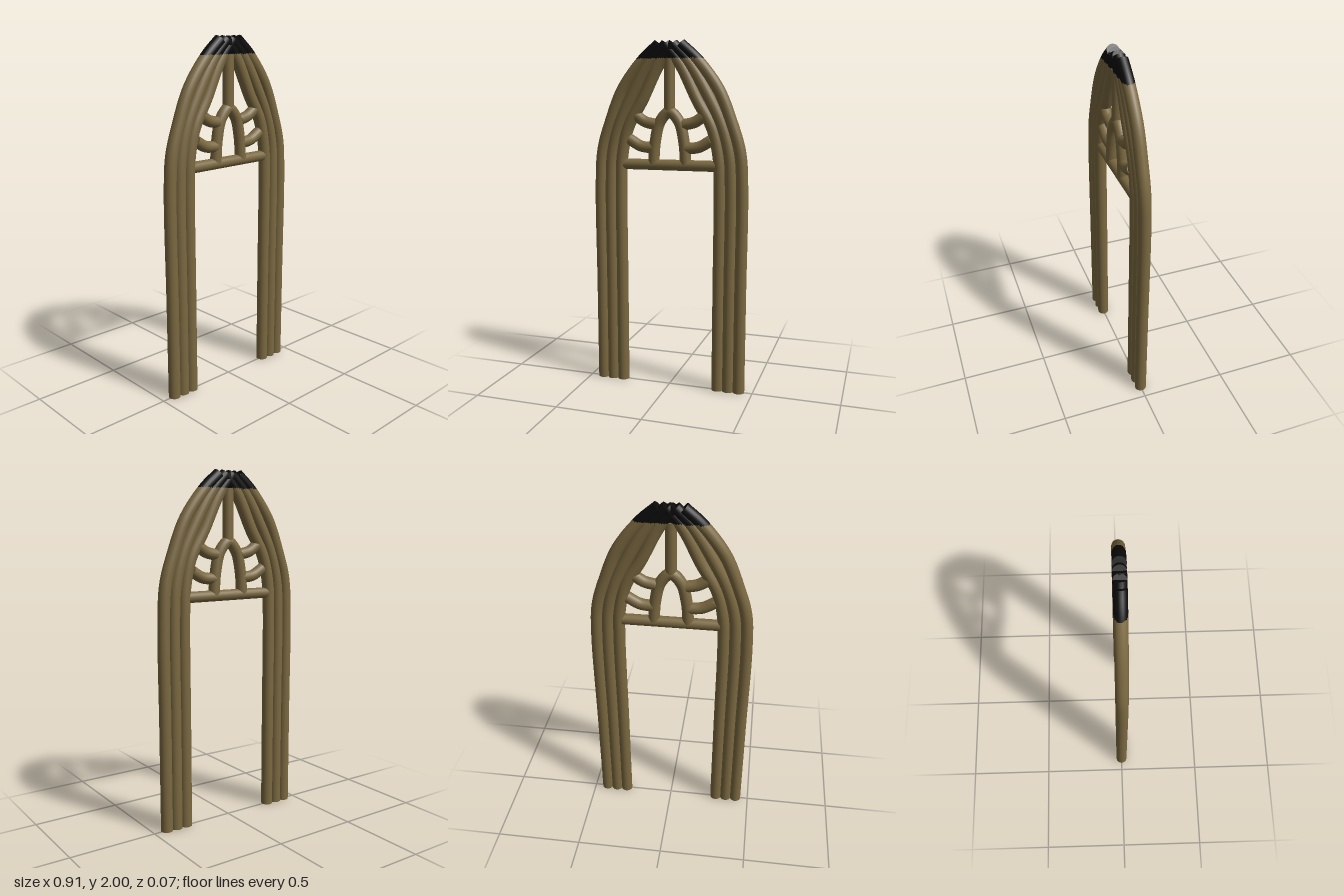
import * as THREE from 'three';
import { mergeGeometries } from 'three/addons/utils/BufferGeometryUtils.js';

const R = 0.034;        // pole radius
const BLACK_FROM = 1.9; // height where the dark tip begins

const olive = new THREE.MeshStandardMaterial({ color: 0x7a6840 });
olive.name = 'olive brown';
const black = new THREE.MeshStandardMaterial({ color: 0x0b0b0b });
black.name = 'black';

// Closed round pole along a list of [x, y] points
function poleGeometry(points, segments, radius = R) {
  const curve = new THREE.CatmullRomCurve3(points.map(([x, y]) => new THREE.Vector3(x, y, 0)));
  const parts = [new THREE.TubeGeometry(curve, segments, radius, 20)];
  for (const t of [0, 1]) {
    const out = curve.getTangentAt(t).multiplyScalar(t ? 1 : -1);
    const cap = new THREE.CircleGeometry(radius, 20);
    cap.applyQuaternion(new THREE.Quaternion().setFromUnitVectors(new THREE.Vector3(0, 0, 1), out));
    const p = curve.getPointAt(t);
    parts.push(cap.translate(p.x, p.y, p.z));
  }
  return mergeGeometries(parts);
}

// Sort faces by height so the tip gets the second material
function splitByHeight(geometry, height) {
  const pos = geometry.attributes.position;
  const idx = geometry.index.array;
  const low = [], high = [];
  for (let i = 0; i < idx.length; i += 3) {
    const f = [idx[i], idx[i + 1], idx[i + 2]];
    const y = (pos.getY(f[0]) + pos.getY(f[1]) + pos.getY(f[2])) / 3;
    (y > height ? high : low).push(...f);
  }
  geometry.setIndex(low.concat(high));
  geometry.clearGroups();
  geometry.addGroup(0, low.length, 0);
  geometry.addGroup(low.length, high.length, 1);
  return geometry;
}

export function createModel() {
  const model = new THREE.Group();
  model.name = 'pointedArch';

  function add(name, geometry, material = olive) {
    const mesh = new THREE.Mesh(geometry, material);
    mesh.name = name;
    model.add(mesh);
  }

  // Centre lines of the outermost and innermost poles (right half)
  const outer = [[0.42, 0], [0.42, 0.6], [0.42, 1.2], [0.405, 1.39], [0.355, 1.553],
    [0.28, 1.731], [0.161, 1.887], [0.063, 1.974]];
  const inner = [[0.293, 0], [0.293, 0.6], [0.293, 1.2], [0.285, 1.36], [0.247, 1.52],
    [0.161, 1.673], [0.06, 1.872], [-0.025, 1.976]];

  const bar = (a, b) => [a, [(a[0] + b[0]) / 2, (a[1] + b[1]) / 2], b];

  for (const [label, side] of [['left', 1], ['right', -1]]) {
    const mirror = (pts) => pts.map(([x, y]) => [x * side, y]);

    // Three nested poles, blended from outside to inside
    ['Outer', 'Middle', 'Inner'].forEach((which, i) => {
      const k = i / 2;
      const path = outer.map(([x, y], j) => [x + (inner[j][0] - x) * k, y + (inner[j][1] - y) * k]);
      add(`${label}${which}Pole`, splitByHeight(poleGeometry(mirror(path), 260), BLACK_FROM), [olive, black]);
    });

    // Curved side braces
    add(`${label}UpperBrace`, poleGeometry(mirror([[0.2, 1.587], [0.145, 1.552], [0.08, 1.537]]), 16, 0.032));
    add(`${label}LowerBrace`, poleGeometry(mirror([[0.24, 1.452], [0.17, 1.414], [0.09, 1.405]]), 16, 0.032));
  }

  // Crossbar, small inner arch and king post
  add('crossbar', poleGeometry(bar([-0.272, 1.31], [0.272, 1.31]), 4, 0.031));
  add('innerArch', poleGeometry([[-0.095, 1.315], [-0.085, 1.44], [-0.055, 1.555], [0, 1.608],
    [0.055, 1.555], [0.085, 1.44], [0.095, 1.315]], 48, 0.032));
  add('kingPost', poleGeometry(bar([0, 1.6], [0, 1.9]), 4, 0.031));

  return model;
}
